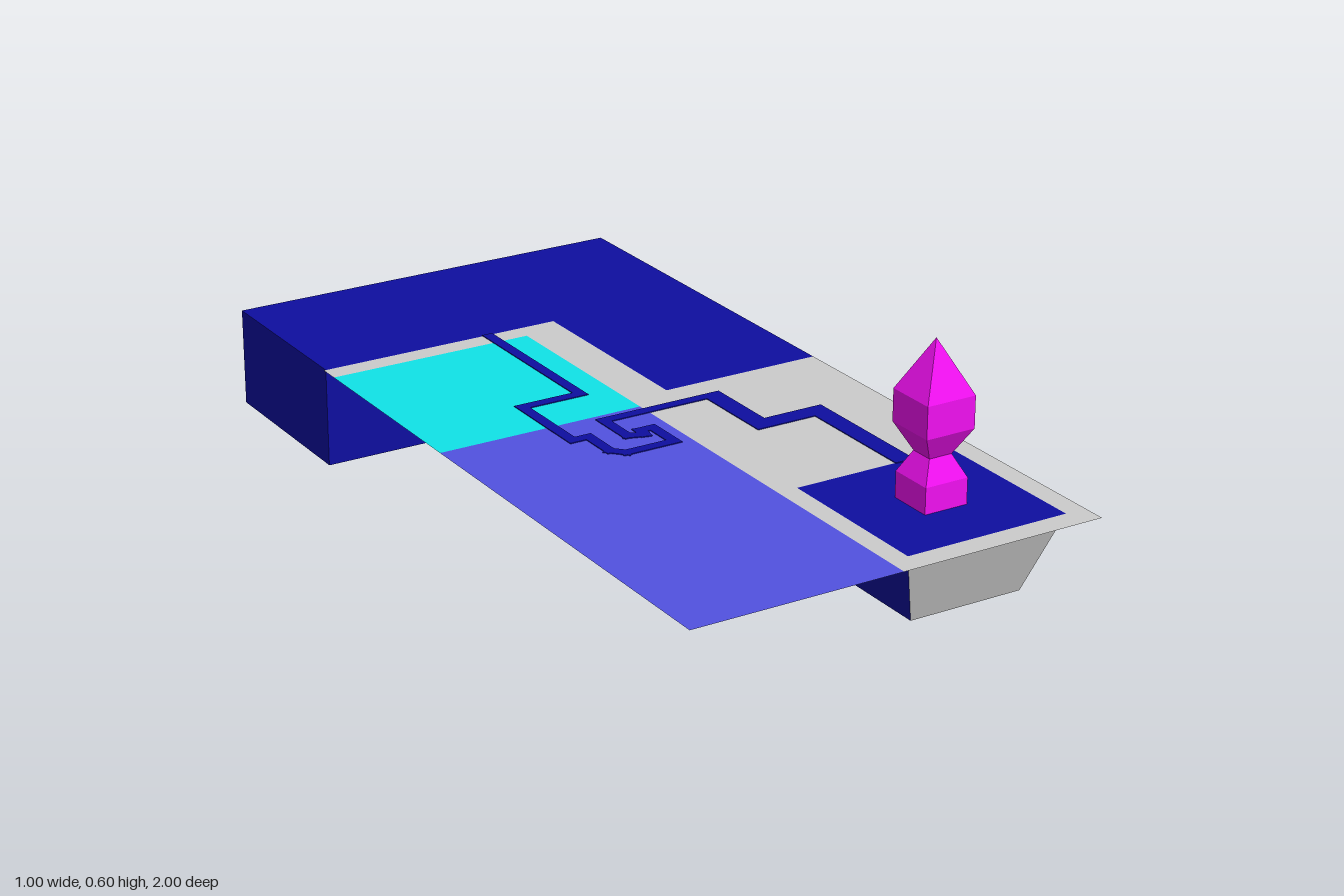
import * as THREE from 'three';

const TOP = 0.235;
const material = (color) => new THREE.MeshStandardMaterial({ color, side: THREE.DoubleSide, flatShading: true });

export function createModel() {
  const group = new THREE.Group();
  const deepBlue = material(0x0e0ea0);
  const paleBlue = material(0x5252e0);
  const cyan = material(0x10e4e8);
  const grey = material(0xcccccc);
  const magenta = material(0xf010f0);

  const add = (name, geometry, mat, parent = group) => {
    const mesh = new THREE.Mesh(geometry, mat);
    mesh.name = name;
    parent.add(mesh);
    return mesh;
  };

  // Horizontal sheet from [x, z] outline points
  const sheet = (name, outline, y, mat, hole) => {
    const toPoints = (list) => list.map(([x, z]) => new THREE.Vector2(x, -z));
    const shape = new THREE.Shape(toPoints(outline));
    if (hole) shape.holes.push(new THREE.Path(toPoints(hole)));
    return add(name, new THREE.ShapeGeometry(shape).rotateX(-Math.PI / 2).translate(0, y, 0), mat);
  };
  const rect = (x0, x1, z0, z1) => [[x0, z1], [x1, z1], [x1, z0], [x0, z0]];

  // Flat panel from three or four corners, counter-clockwise seen from outside
  const panel = (name, corners, mat) => {
    const geometry = new THREE.BufferGeometry();
    geometry.setAttribute('position', new THREE.Float32BufferAttribute(corners.flat(), 3));
    geometry.setIndex(corners.length === 4 ? [0, 1, 2, 0, 2, 3] : [0, 1, 2]);
    geometry.computeVertexNormals();
    return add(name, geometry, mat);
  };
  const wall = (name, [x0, z0], [x1, z1], mat) =>
    panel(name, [[x0, 0, z0], [x1, 0, z1], [x1, TOP, z1], [x0, TOP, z0]], mat);

  // L-shaped water block
  const L = [[-0.495, -0.555], [0.1, -0.555], [0.1, -0.05], [0.495, -0.05], [0.495, -1], [-0.495, -1]];
  sheet('blockTop', L, TOP, deepBlue);
  sheet('blockBottom', L, 0, grey);
  L.forEach((p, i) => {
    if (i !== 3) wall('blockWall', p, L[(i + 1) % L.length], deepBlue);
  });
  wall('blockSideWall', [0.495, -0.035], [0.495, -0.97], deepBlue);
  wall('blockCornerStrip', [0.495, -0.97], [0.495, -1], grey);

  // Ground sheets
  const pondTop = rect(0.048, 0.445, 0.55, 0.945);
  const pondBase = rect(0.108, 0.385, 0.62, 0.88);
  sheet('greyGround', [[0, 1], [0.495, 1], [0.495, -0.05], [0.1, -0.05], [0.1, -0.555],
    [-0.5, -0.555], [-0.5, -0.505], [0, -0.505]], TOP, grey, pondTop);
  sheet('cyanGround', rect(-0.5, 0, -0.505, 0), TOP, cyan);
  sheet('paleBlueGround', rect(-0.5, 0, 0, 1), TOP, paleBlue);

  // Tapered pond
  sheet('pondSurface', pondTop, TOP, deepBlue);
  sheet('pondBottom', pondBase, 0.05, deepBlue);
  for (let i = 0; i < 4; i++) {
    const j = (i + 1) % 4;
    const at = ([x, z], y) => [x, y, z];
    panel('pondWall', [at(pondBase[i], 0.05), at(pondBase[j], 0.05), at(pondTop[j], TOP), at(pondTop[i], TOP)],
      i === 0 ? grey : deepBlue);
  }

  // Sloping spout between pond and channel
  const [s0, s1] = [0.297, 0.345];
  for (const x of [s0, s1]) {
    panel('spoutSide', [[x, 0.05, 0.62], [x, 0.22, 0.5], [x, TOP, 0.55]], grey);
  }
  panel('spoutSlope', [[s1, 0.05, 0.62], [s0, 0.05, 0.62], [s0, 0.22, 0.5], [s1, 0.22, 0.5]], grey);

  // Winding channel, one bar per straight run
  const channel = new THREE.Group();
  channel.name = 'channel';
  group.add(channel);
  const run = (path, width) => {
    for (let i = 1; i < path.length; i++) {
      const [ax, az] = path[i - 1];
      const [bx, bz] = path[i];
      const bar = add('channelRun', new THREE.BoxGeometry(width, 0.017, Math.hypot(bx - ax, bz - az) + width), deepBlue, channel);
      bar.position.set((ax + bx) / 2, 0.2285, (az + bz) / 2);
      bar.rotation.y = Math.atan2(bx - ax, bz - az);
    }
  };
  run([[0.321, 0.53], [0.321, 0.225], [0.172, 0.225], [0.172, 0.04]], 0.047);
  run([[0.18, 0.029], [-0.111, 0.029], [-0.111, 0.13], [-0.075, 0.142], [-0.072, 0.118], [-0.04, 0.118],
    [-0.04, 0.207], [-0.16, 0.207], [-0.185, 0.18], [-0.185, 0.09], [-0.225, 0.09],
    [-0.225, -0.13], [-0.076, -0.13], [-0.076, -0.545]], 0.026);

  // Square tower with a pointed top: [half width, height]
  const profile = [[0, TOP], [0.053, TOP], [0.053, 0.295], [0.028, 0.345], [0.06, 0.405], [0.06, 0.478], [0, 0.597]]
    .map(([half, y]) => new THREE.Vector2(half * Math.SQRT2, y));
  const tower = add('tower', new THREE.LatheGeometry(profile, 4, Math.PI / 4), magenta);
  tower.position.set(0.247, 0, 0.748);

  return group;
}
